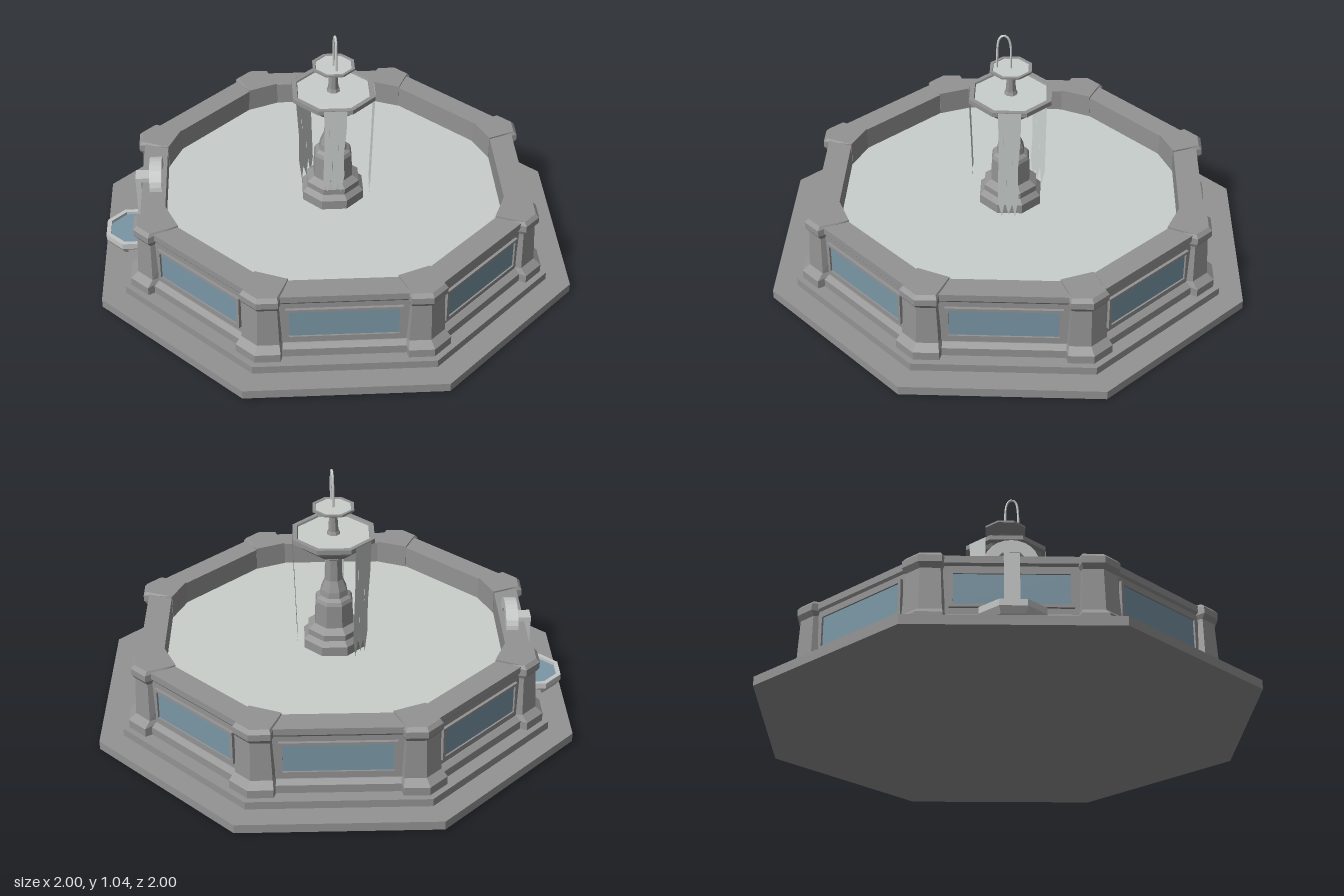
import * as THREE from 'three';

const DEG = Math.PI / 180;
const CORNER = 30.3;            // plan angle of the first octagon corner
const SIDE = CORNER - 22.5;     // plan angle of the first octagon side
const WALL = 0.78;              // distance from the centre to the wall face

const material = (name, color, side = THREE.FrontSide) => {
  const m = new THREE.MeshStandardMaterial({ color, side });
  m.name = name;
  return m;
};

export function createModel() {
  const stone = material('stone', 0x939393);
  const paleStone = material('pale stone', 0xc4c6c5);
  const water = material('water', 0xc9cfcc, THREE.DoubleSide);
  const blue = material('blue panel', 0x7a96a5);
  const fountain = new THREE.Group();
  fountain.name = 'fountain';

  const add = (parent, name, geometry, mat) => {
    const g = geometry.index ? geometry.toNonIndexed() : geometry;
    g.computeVertexNormals();
    const mesh = new THREE.Mesh(g, mat);
    mesh.name = name;
    parent.add(mesh);
    return mesh;
  };
  // eight-sided turned solid; the profile runs up the outside
  const octagon = (profile, turn = (90 - CORNER) * DEG) =>
    new THREE.LatheGeometry(profile.map(([r, y]) => new THREE.Vector2(r, y)), 8, turn);
  const box = (parent, name, w, h, d, x, y, z, mat) => {
    const mesh = add(parent, name, new THREE.BoxGeometry(w, h, d), mat);
    mesh.position.set(x, y, z);
    return mesh;
  };
  // group whose +z points outward at a plan angle
  const facing = (name, angle) => {
    const g = new THREE.Group();
    g.name = name;
    g.rotation.y = (90 - angle) * DEG;
    fountain.add(g);
    return g;
  };

  // stepped base, basin wall and pool
  add(fountain, 'steps', octagon([[0, 0], [1.033, 0], [1.033, 0.037], [0.93, 0.037],
    [0.93, 0.07], [0, 0.07]]), stone);
  add(fountain, 'basinWall', octagon([[0.872, 0.07], [0.872, 0.105], [0.848, 0.12], [0.844, 0.12],
    [0.844, 0.312], [0.852, 0.322], [0.852, 0.35], [0.745, 0.35], [0.745, 0.07]]), stone);
  add(fountain, 'poolWater', octagon([[0.747, 0.255], [0, 0.255]]), water);

  // corner pillars, lofted from five-sided plans: [y, outer distance, half length]
  const levels = [[0.07, 0.835, 0.1], [0.105, 0.835, 0.1], [0.13, 0.806, 0.085], [0.295, 0.798, 0.075],
    [0.315, 0.812, 0.085], [0.342, 0.812, 0.085], [0.357, 0.798, 0.075]];
  const pillarGeometry = () => {
    const c = Math.cos(22.5 * DEG), s = Math.sin(22.5 * DEG);
    const pos = [], idx = [], n = 5;
    for (const [y, p, w] of levels) {
      const r = p / c;
      const plan = [[0.715, 0.068], [r - w * s, w * c], [r, 0], [r - w * s, -w * c], [0.715, -0.068]];
      for (const [x, z] of plan) pos.push(x, y, z);
    }
    for (let i = 0; i < levels.length - 1; i++)
      for (let j = 0; j < n; j++) {
        const a = i * n + j, b = i * n + (j + 1) % n;
        idx.push(a, b, b + n, a, b + n, a + n);
      }
    const t = (levels.length - 1) * n;
    for (let j = 1; j < n - 1; j++) idx.push(t, t + j, t + j + 1);
    const g = new THREE.BufferGeometry();
    g.setAttribute('position', new THREE.Float32BufferAttribute(pos, 3));
    g.setIndex(idx);
    return g;
  };

  for (let i = 0; i < 8; i++) {
    add(fountain, 'cornerPillar', pillarGeometry(), stone).rotation.y = -(CORNER + 45 * i) * DEG;

    // framed blue panel on each side
    const side = facing('wallPanel', SIDE + 45 * i);
    box(side, 'panel', 0.42, 0.125, 0.006, 0, 0.217, WALL + 0.002, blue);
    for (const s of [-1, 1]) {
      box(side, 'frameRail', 0.45, 0.012, 0.014, 0, 0.217 + s * 0.066, WALL + 0.005, stone);
      box(side, 'frameStile', 0.014, 0.13, 0.014, s * 0.218, 0.217, WALL + 0.005, stone);
    }
  }

  // drinking spout: arch on the wall, post and small basin
  const spout = facing('drinkingSpout', SIDE + 180);
  const arch = new THREE.Shape();
  arch.absarc(0, 0, 0.1, 0, Math.PI, false);
  arch.absarc(0, 0, 0.052, Math.PI, 0, true);
  const archMesh = add(spout, 'arch', new THREE.ExtrudeGeometry(arch,
    { depth: 0.05, bevelEnabled: false, curveSegments: 6 }), paleStone);
  archMesh.position.set(0, 0.345, 0.705);
  archMesh.scale.y = 0.88;
  box(spout, 'spoutArm', 0.062, 0.02, 0.09, 0, 0.36, 0.77, paleStone);
  box(spout, 'spoutPost', 0.058, 0.28, 0.022, 0, 0.215, 0.803, paleStone);
  const bowl = add(spout, 'smallBasin', octagon([[0.1, 0.037], [0.115, 0.05], [0.13, 0.075],
    [0.13, 0.1], [0.11, 0.1], [0.11, 0.08]], 22.5 * DEG), paleStone);
  const bowlWater = add(spout, 'smallBasinWater', octagon([[0.112, 0.088], [0, 0.088]], 22.5 * DEG), blue);
  bowl.position.z = bowlWater.position.z = 0.832;

  // central pedestal, both bowls and their water
  add(fountain, 'pedestal', octagon([[0.135, 0.24], [0.135, 0.295], [0.115, 0.315], [0.115, 0.34],
    [0.085, 0.36], [0.082, 0.46], [0.075, 0.475], [0.06, 0.485], [0.056, 0.51], [0.038, 0.555],
    [0.036, 0.65], [0.052, 0.66], [0.052, 0.675]]), stone);
  add(fountain, 'lowerBowl', octagon([[0.05, 0.672], [0.1, 0.69], [0.15, 0.728], [0.158, 0.742],
    [0.178, 0.748], [0.178, 0.767], [0.158, 0.767], [0.15, 0.75]]), stone);
  add(fountain, 'lowerBowlWater', octagon([[0.157, 0.76], [0, 0.76]]), water);
  add(fountain, 'upperBowl', octagon([[0.032, 0.75], [0.022, 0.775], [0.018, 0.835], [0.03, 0.85],
    [0.06, 0.86], [0.09, 0.872], [0.09, 0.88], [0.078, 0.88], [0.074, 0.874]]), stone);
  add(fountain, 'upperBowlWater', octagon([[0.077, 0.877], [0, 0.877]]), water);
  const jet = new THREE.CatmullRomCurve3([[0, 0.875, 0], [0, 0.98, 0.002], [0, 1.013, 0.012],
    [0, 1.025, 0.03], [0, 1.013, 0.046], [0, 0.98, 0.053], [0, 0.885, 0.056]]
    .map(p => new THREE.Vector3(...p)));
  add(fountain, 'waterJet', new THREE.TubeGeometry(jet, 24, 0.005, 6), water);

  // ragged sheets of water falling from the lower bowl
  const sheet = (angle, length) => {
    const shape = new THREE.Shape([[-0.046, 0], [-0.043, -0.3], [-0.047, -0.85], [-0.03, -1],
      [-0.018, -0.84], [-0.004, -0.98], [0.012, -0.88], [0.024, -1], [0.038, -0.8], [0.034, -0.55],
      [0.044, -0.25], [0.046, 0]].map(([x, y]) => new THREE.Vector2(x, y * length)));
    for (const [x, y] of [[-0.026, -0.2], [0.012, -0.38], [-0.012, -0.6]])
      shape.holes.push(new THREE.Path([[x, y], [x + 0.003, y - 0.07], [x, y - 0.14]]
        .map(([u, v]) => new THREE.Vector2(u, v * length))));
    const mesh = add(facing('fallingWater', angle), 'waterSheet', new THREE.ShapeGeometry(shape), water);
    mesh.position.set(0, 0.766, 0.167);
    mesh.rotation.x = 0.03;
  };
  sheet(SIDE, 0.51);
  sheet(SIDE + 90, 0.4);
  sheet(SIDE + 225, 0.51);

  // the whole piece leans very slightly
  fountain.rotation.set(-0.003, 0, -0.007);
  fountain.position.y = 0.008;
  const model = new THREE.Group();
  model.name = 'octagonalFountain';
  model.add(fountain);
  return model;
}
